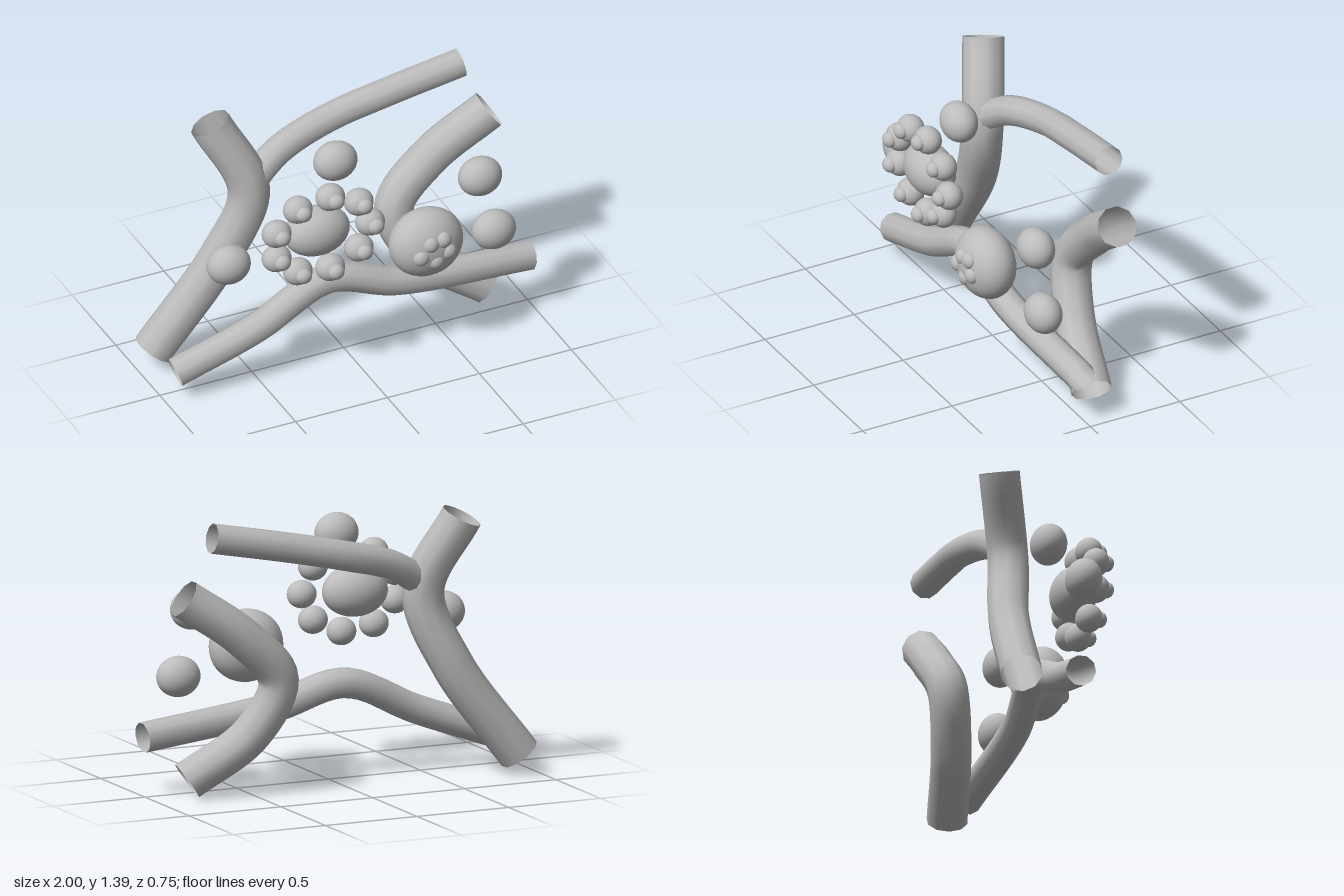
import * as THREE from 'three';

export function createModel() {
  const model = new THREE.Group();
  const gray = new THREE.MeshStandardMaterial({ color: 0xbcbcbc, side: THREE.DoubleSide });
  gray.name = 'plain gray';

  const ball = new THREE.SphereGeometry(1, 32, 20);

  // Open hollow tube through the given points
  function vine(name, radius, points) {
    const curve = new THREE.CatmullRomCurve3(points.map(p => new THREE.Vector3(...p)));
    const mesh = new THREE.Mesh(new THREE.TubeGeometry(curve, 40, radius, 10, false), gray);
    mesh.name = name;
    model.add(mesh);
  }

  // Stretched sphere
  function blob(name, position, size, parent = model) {
    const mesh = new THREE.Mesh(ball, gray);
    mesh.name = name;
    mesh.position.set(...position);
    mesh.scale.set(...size);
    parent.add(mesh);
  }

  // Branches
  vine('trunkBranch', 0.105, [
    [-0.915, 0.10, -0.26], [-0.57, 0.57, -0.22], [-0.43, 0.95, -0.18], [-0.595, 1.325, -0.275]]);
  vine('upperBranch', 0.075, [
    [-0.42, 0.99, -0.18], [-0.24, 1.10, -0.23], [0.04, 1.18, -0.27], [0.36, 1.25, -0.26], [0.75, 1.325, -0.24]]);
  vine('forkBranch', 0.102, [
    [0.89, 1.03, -0.21], [0.58, 0.81, -0.25], [0.385, 0.58, -0.235], [0.51, 0.31, -0.18], [0.82, 0.09, -0.105]]);
  vine('frontBranch', 0.076, [
    [-0.935, 0.145, 0.04], [-0.51, 0.30, 0.065], [-0.11, 0.47, 0.05], [0.26, 0.375, 0.08], [0.99, 0.295, 0.045]]);

  // Loose berries
  for (const [x, y] of [[-0.107, 1.208], [-0.687, 0.762], [0.68, 0.897], [0.755, 0.565]]) {
    blob('berry', [x, y, 0.13], [0.113, 0.102, 0.09]);
  }

  // Flower: large heart ringed by nine petals, each with a bud
  const flower = new THREE.Group();
  flower.name = 'flower';
  model.add(flower);
  blob('flowerHeart', [-0.249, 0.89, 0.215], [0.172, 0.13, 0.115], flower);
  for (let i = 0; i < 9; i++) {
    const a = i * Math.PI * 2 / 9;
    const x = -0.24 + 0.262 * Math.cos(a), y = 0.888 + 0.208 * Math.sin(a);
    blob('petal', [x, y, 0.255], [0.075, 0.07, 0.067], flower);
    blob('petalBud', [x + 0.006, y + 0.003, 0.312], [0.042, 0.04, 0.036], flower);
  }

  // Fruit with five small seeds on its front
  const fruit = new THREE.Group();
  fruit.name = 'fruit';
  model.add(fruit);
  blob('fruitBody', [0.34, 0.666, 0.225], [0.193, 0.182, 0.138], fruit);
  for (const [x, y] of [[0.382, 0.728], [0.407, 0.658], [0.342, 0.618], [0.263, 0.655], [0.315, 0.717]]) {
    blob('fruitSeed', [x, y, 0.337], [0.043, 0.043, 0.036], fruit);
  }

  return model;
}
